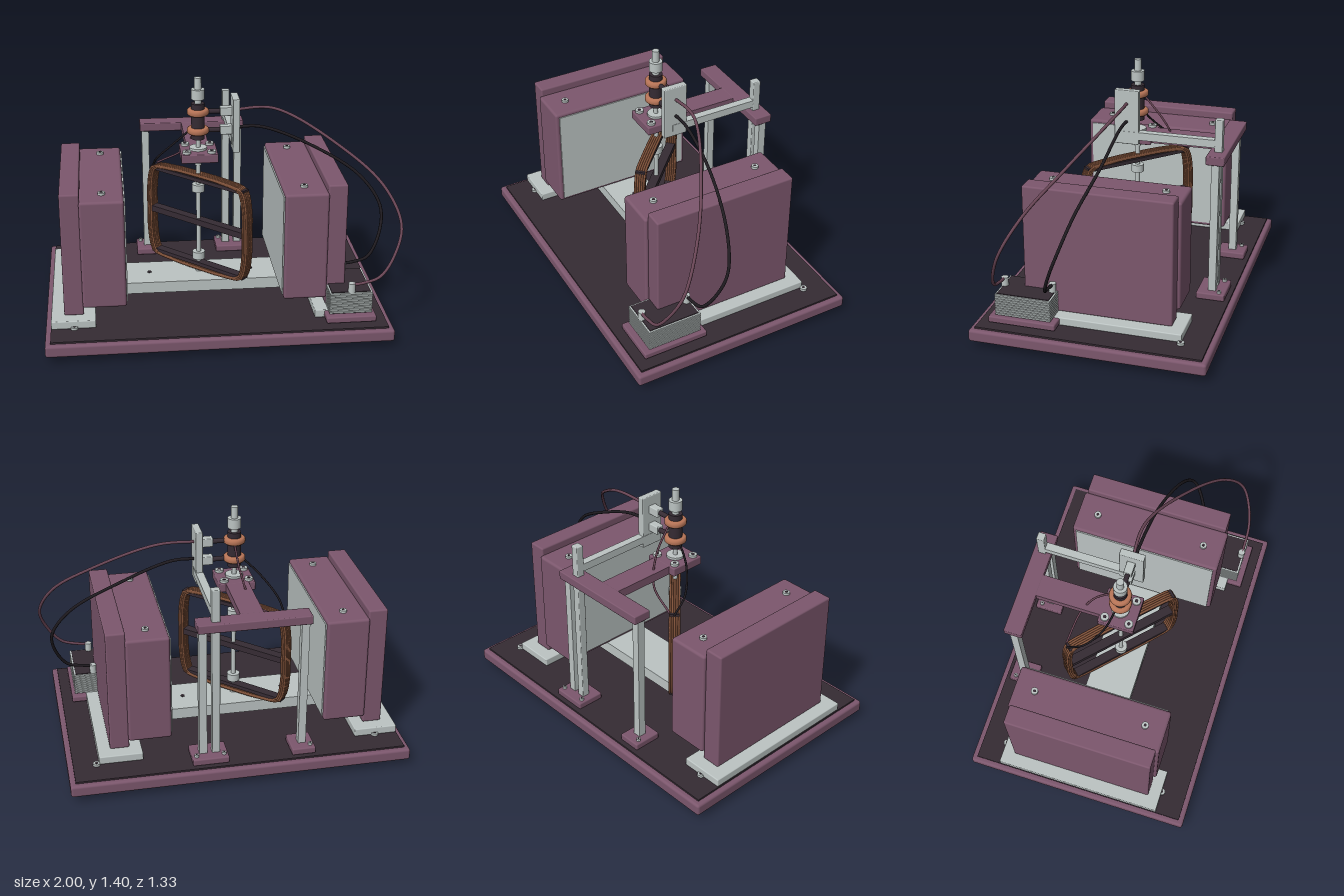
import * as THREE from 'three';
import { RoundedBoxGeometry } from 'three/addons/geometries/RoundedBoxGeometry.js';
import { mergeGeometries } from 'three/addons/utils/BufferGeometryUtils.js';

const mat = (name, color) => {
  const m = new THREE.MeshStandardMaterial({ color });
  m.name = name;
  return m;
};

export function createModel() {
  const model = new THREE.Group();
  model.name = 'rotatingCoilMachine';

  const purple = mat('purplePlastic', 0x7c576d);
  const silver = mat('silverMetal', 0xbcc4c3);
  const dark = mat('darkPlastic', 0x352b33);
  const copper = mat('copperWire', 0x85553c);
  const ring = mat('copperRing', 0xb87557);
  const plumWire = mat('plumWire', 0x6a4656);
  const blackWire = mat('blackWire', 0x1f1b20);

  const add = (name, geometry, material, parent = model) => {
    const mesh = new THREE.Mesh(geometry, material);
    mesh.name = name;
    parent.add(mesh);
    return mesh;
  };
  // Box given by its limits; r rounds the edges
  const box = (name, m, [x0, x1], [y0, y1], [z0, z1], r = 0, parent = model) => {
    const s = [x1 - x0, y1 - y0, z1 - z0];
    const g = r ? new RoundedBoxGeometry(...s, 2, r) : new THREE.BoxGeometry(...s);
    const mesh = add(name, g, m, parent);
    mesh.position.set((x0 + x1) / 2, (y0 + y1) / 2, (z0 + z1) / 2);
    return mesh;
  };
  // Upright cylinder
  const rod = (name, m, x, z, y0, y1, r, parent = model) => {
    const mesh = add(name, new THREE.CylinderGeometry(r, r, y1 - y0, 24), m, parent);
    mesh.position.set(x, (y0 + y1) / 2, z);
    return mesh;
  };
  const screw = (x, y, z, r = 0.02) => {
    rod('screwHead', silver, x, z, y, y + 0.014, r);
    rod('screwSocket', dark, x, z, y + 0.014, y + 0.016, r * 0.4);
  };
  const wire = (name, m, pts, r) => {
    const curve = new THREE.CatmullRomCurve3(pts.map(p => new THREE.Vector3(...p)));
    return add(name, new THREE.TubeGeometry(curve, 64, r, 8), m);
  };

  // Base board with dark top and four feet
  box('baseBoard', purple, [-1, 0.93], [0.04, 0.11], [-0.665, 0.665], 0.015);
  box('baseTop', dark, [-0.97, 0.9], [0.108, 0.12], [-0.635, 0.635]);
  for (const x of [-0.84, 0.77]) for (const z of [-0.49, 0.49]) {
    rod('foot', dark, x, z, 0, 0.045, 0.045);
    screw(x, 0.12, z);
  }

  // Cross bar and magnet supports
  box('crossBar', silver, [-0.8, 0.6], [0.145, 0.213], [-0.14, 0.14]);
  box('magnetSupport', silver, [-0.968, -0.72], [0.12, 0.167], [-0.49, 0.49], 0.006);
  box('magnetSupport', silver, [0.507, 0.755], [0.12, 0.167], [-0.49, 0.49], 0.006);
  for (const x of [-0.4, 0.2]) rod('barBolt', dark, x, 0, 0.213, 0.217, 0.012);

  // Two facing magnet blocks
  for (const s of [-1, 1]) {
    const at = (a, b) => [a, b].map(v => -0.105 + s * v).sort((p, q) => p - q);
    box('magnetBackPlate', purple, at(0.68, 0.79), [0.167, 0.89], [-0.42, 0.42], 0.01);
    box('magnetBlock', purple, at(0.44, 0.685), [0.215, 0.848], [-0.437, 0.437], 0.015);
    box('magnetFace', silver, at(0.433, 0.441), [0.237, 0.828], [-0.415, 0.415]);
    for (const z of [-0.32, 0.32]) screw(-0.105 + s * 0.56, 0.848, z);
  }

  // Rear columns, their feet and the tall arm post
  box('columnFoot', purple, [-0.455, -0.32], [0.12, 0.16], [-0.61, -0.445], 0.008);
  box('columnFoot', purple, [0.04, 0.245], [0.12, 0.16], [-0.61, -0.445], 0.008);
  for (const x of [-0.388, 0.178])
    box('column', silver, [x - 0.022, x + 0.022], [0.15, 0.93], [-0.55, -0.506]);
  box('armPost', silver, [0.082, 0.128], [0.15, 1.163], [-0.55, -0.505], 0.005);
  for (const x of [-0.43, 0.065, 0.22]) screw(x, 0.16, -0.575, 0.012);

  // T-shaped bearing plate
  box('bearingCrossPiece', purple, [-0.42, 0.21], [0.926, 0.977], [-0.58, -0.475], 0.006);
  box('bearingStem', purple, [-0.17, -0.04], [0.927, 0.976], [-0.49, -0.08]);
  box('bearingHead', purple, [-0.21, 0], [0.926, 0.977], [-0.105, 0.105], 0.006);
  for (const x of [-0.177, -0.035]) for (const z of [-0.07, 0.07]) screw(x, 0.977, z, 0.024);

  // Arm and terminal plate carrying the brushes
  box('brushArm', silver, [0.083, 0.127], [1.0, 1.045], [-0.51, 0.02]);
  box('terminalPlate', silver, [0.085, 0.125], [0.97, 1.285], [-0.07, 0.07], 0.005);

  // Spindle with collars, insulator and slip rings
  const cx = -0.107;
  rod('spindle', silver, cx, 0, 0.1, 1.3, 0.013);
  rod('lowerBearing', silver, cx, 0, 0.02, 0.235, 0.019);
  rod('upperBearing', silver, cx, 0, 0.88, 0.985, 0.019);
  rod('bearingFlange', silver, cx, 0, 0.977, 0.99, 0.05);
  for (const y of [0.317, 0.742]) rod('spindleCollar', silver, cx, 0, y - 0.022, y + 0.022, 0.037);
  rod('insulator', dark, cx, 0, 1.04, 1.25, 0.038);
  rod('topCollar', silver, cx, 0, 1.275, 1.333, 0.038);
  rod('topShaft', silver, cx, 0, 1.25, 1.4, 0.02);
  const ringProfile = [[0.036, -0.018], [0.054, -0.018], [0.062, -0.01], [0.062, 0.01],
    [0.054, 0.018], [0.036, 0.018]].map(p => new THREE.Vector2(...p));
  for (const y of [1.09, 1.2]) {
    add('slipRing', new THREE.LatheGeometry(ringProfile, 32), ring).position.set(cx, y, 0);
    const brush = rod('brush', dark, -0.012, 0, y - 0.04, y + 0.04, 0.014);
    brush.rotation.z = Math.PI / 2;
    box('brushHolder', silver, [0.018, 0.088], [y - 0.025, y + 0.025], [-0.024, 0.024], 0.005);
  }

  // Turned coil: dark cross bars wrapped with copper strands
  const coil = new THREE.Group();
  coil.name = 'coil';
  coil.position.x = cx;
  coil.rotation.y = -0.76;
  model.add(coil);
  for (const [y, h, w] of [[0.795, 0.011, 0.34], [0.532, 0.018, 0.355], [0.266, 0.011, 0.34]])
    box('coilBar', dark, [-w, w], [y - h, y + h], [-0.027, 0.027], 0, coil);
  const quarter = [[0.352, 0], [0.352, 0.12], [0.335, 0.235], [0.315, 0.27], [0.19, 0.288], [0, 0.292]];
  const flip = (list, a, b) => list.map(([u, v]) => [a * u, b * v]);
  const loop = [
    ...quarter,
    ...flip(quarter.slice(0, -1).reverse(), -1, 1),
    ...flip(quarter.slice(1), -1, -1),
    ...flip(quarter.slice(1, -1).reverse(), 1, -1),
  ];
  const strands = [];
  for (let layer = 0; layer < 3; layer++) for (let i = 0; i < 5; i++) {
    // Layers spread at the sides and close up across the top and bottom
    const pts = loop.map(([u, v]) => new THREE.Vector3(
      u * (1 + (layer - 1) * 0.032), 0.53 + v * (1 + (layer - 1) * 0.01), (i - 2) * 0.0125));
    strands.push(new THREE.TubeGeometry(new THREE.CatmullRomCurve3(pts, true), 72, 0.007, 6, true));
  }
  add('coilWinding', mergeGeometries(strands), copper, coil);

  // Leads from the coil up to the slip rings
  wire('coilLeadDark', blackWire, [[-0.15, 1.09, -0.01], [-0.25, 0.99, -0.05],
    [-0.335, 0.88, -0.14], [-0.355, 0.8, -0.24]], 0.006);
  wire('coilLeadPlum', plumWire, [[-0.1, 1.18, -0.05], [-0.115, 1.05, -0.15],
    [-0.17, 0.9, -0.22], [-0.33, 0.81, -0.25]], 0.006);

  // Finned load block with two terminals
  box('loadBase', purple, [0.56, 0.84], [0.125, 0.162], [0.195, 0.58], 0.008);
  box('loadCore', dark, [0.59, 0.81], [0.16, 0.29], [0.236, 0.534]);
  for (let i = 0; i < 9; i++) {
    const y = 0.168 + i * 0.0142;
    box('loadFin', silver, [0.58, 0.82], [y, y + 0.009], [0.226, 0.544]);
  }
  box('loadTop', dark, [0.59, 0.81], [0.288, 0.295], [0.236, 0.534]);
  for (const z of [0.25, 0.527]) rod('loadTerminal', silver, 0.703, z, 0.29, 0.345, 0.02);

  // Wires from the terminal plate down to the load block
  wire('plumLoadWire', plumWire, [[0.08, 1.205, 0], [0.33, 1.205, 0.0], [0.7, 1.01, 0.17],
    [0.91, 0.83, 0.32], [0.99, 0.64, 0.43], [0.94, 0.48, 0.495], [0.86, 0.375, 0.525],
    [0.77, 0.345, 0.53], [0.7, 0.335, 0.53]], 0.009);
  wire('blackLoadWire', blackWire, [[0.08, 1.1, 0], [0.25, 1.1, 0], [0.55, 0.98, 0.02],
    [0.82, 0.81, 0.08], [0.935, 0.64, 0.135], [0.925, 0.5, 0.19], [0.85, 0.37, 0.24],
    [0.77, 0.345, 0.25], [0.7, 0.335, 0.25]], 0.009);

  return model;
}
